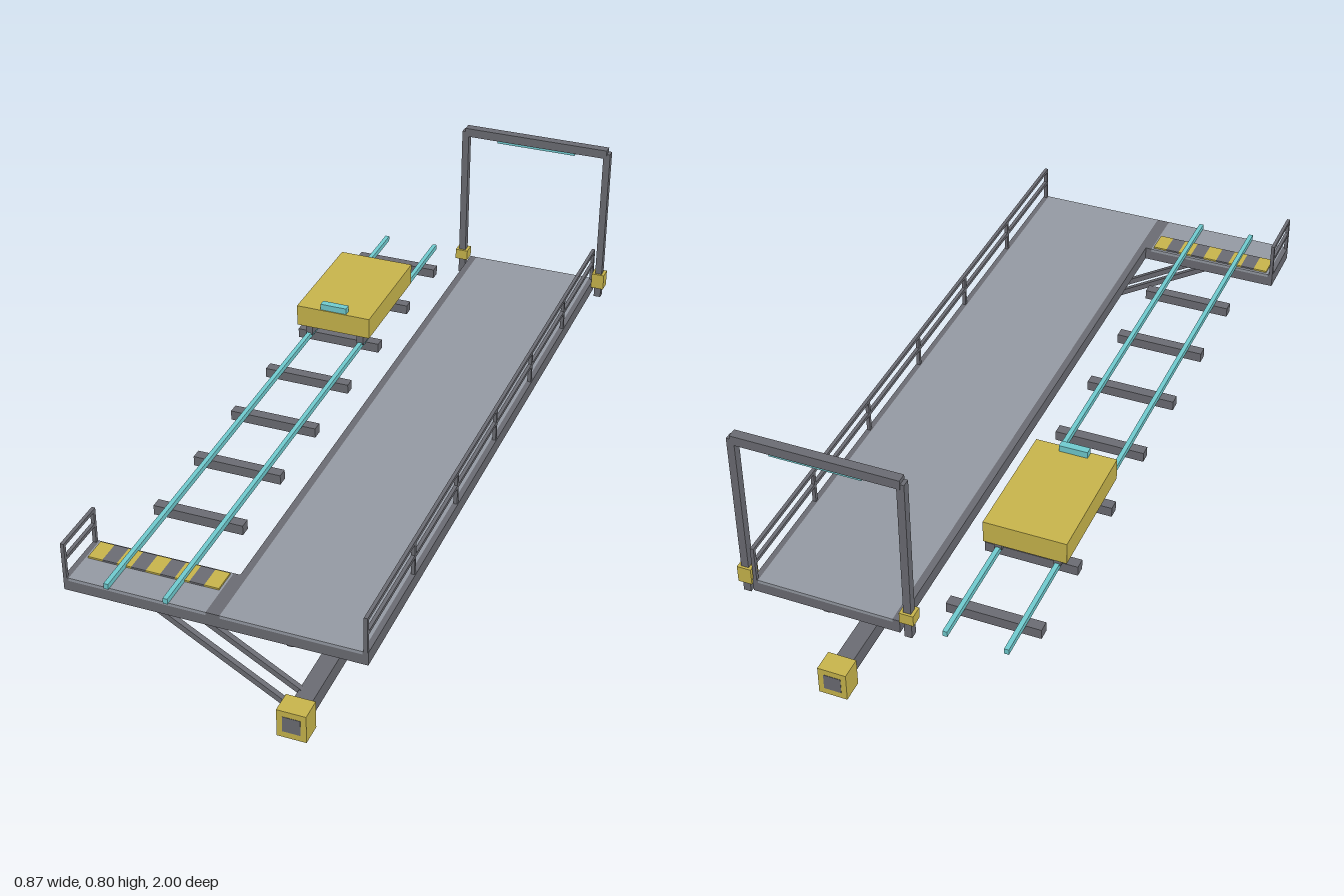
import * as THREE from 'three';

export function createModel() {
  const model = new THREE.Group();
  model.name = 'trussGangway';

  const mat = (name, color) => {
    const m = new THREE.MeshStandardMaterial({ color });
    m.name = name;
    return m;
  };
  const steel = mat('steel grey', 0x6b6c73);
  const plate = mat('plate grey', 0x959aa3);
  const yellow = mat('safety yellow', 0xc8b54c);
  const teal = mat('signal teal', 0x70cbcf);

  // Box given by its lower and upper limits on each axis
  const box = (name, material, [x0, x1], [y0, y1], [z0, z1], parent = model) => {
    const mesh = new THREE.Mesh(new THREE.BoxGeometry(x1 - x0, y1 - y0, z1 - z0), material);
    mesh.position.set((x0 + x1) / 2, (y0 + y1) / 2, (z0 + z1) / 2);
    mesh.name = name;
    parent.add(mesh);
    return mesh;
  };
  // Square bar between two points
  const bar = (name, a, b, size, parent = model) => {
    const from = new THREE.Vector3(...a), to = new THREE.Vector3(...b);
    const mesh = new THREE.Mesh(new THREE.BoxGeometry(size, size, from.distanceTo(to)), steel);
    mesh.position.copy(from).lerp(to, 0.5);
    mesh.lookAt(to);
    mesh.name = name;
    parent.add(mesh);
  };
  const group = (name) => {
    const g = new THREE.Group();
    g.name = name;
    model.add(g);
    return g;
  };
  const around = (c, size) => [c - size / 2, c + size / 2];

  const END = 0.995, LOW = 0.302, TOP = 0.341, UNDER = 0.332;

  // Main deck: plate, side beams and cross beams
  const deck = group('mainDeck');
  box('deckPlate', plate, [0, 0.379], [UNDER, TOP], [-END, END], deck);
  box('deckSideBeam', steel, [-0.02, 0], [LOW, TOP], [-END, END], deck);
  box('deckSideBeam', steel, [0.379, 0.394], [LOW, TOP], [-END, END], deck);
  for (let i = 0; i <= 8; i++) {
    const z = -0.98 + i * 0.245;
    box('deckCrossBeam', steel, [0, 0.379], [LOW, UNDER], around(z, 0.03), deck);
  }

  // Side landing at the front
  const landing = group('sideLanding');
  box('landingPlate', plate, [-0.42, -0.038], [UNDER, TOP], [0.825, END], landing);
  box('landingSideBeam', steel, [-0.435, -0.42], [LOW, TOP], [0.825, END], landing);
  box('landingSideBeam', steel, [-0.038, -0.02], [LOW, TOP], [0.825, END], landing);
  for (const z of [0.84, 0.98])
    box('landingCrossBeam', steel, [-0.42, -0.038], [LOW, UNDER], around(z, 0.03), landing);
  // Warning strip
  for (let i = 0; i < 9; i++) {
    const x = -0.413 + i * 0.041;
    box('warningStripe', i % 2 ? steel : yellow, [x, x + 0.041], [TOP, TOP + 0.005], [0.833, 0.902], landing);
  }

  // Railings
  const railing = (name, x, posts) => {
    const g = group(name);
    for (const z of posts) box('railingPost', steel, around(x, 0.01), [TOP, 0.445], around(z, 0.01), g);
    const span = [Math.min(...posts), Math.max(...posts)];
    for (const y of [0.396, 0.44]) box('railingRail', steel, around(x, 0.01), around(y, 0.01), span, g);
  };
  railing('deckRailing', 0.387, [-3, -2, -1, 0, 1, 2, 3].map((i) => i * 0.33));
  railing('landingRailing', -0.43, [0.83, 0.99]);

  // Lower chord with end blocks and zigzag bracing
  const truss = group('truss');
  const CX = 0.187, CY = 0.043;
  box('lowerChord', steel, around(CX, 0.05), around(CY, 0.048), [-0.998, 0.998], truss);
  for (const s of [-1, 1])
    box('chordEndBlock', yellow, around(CX, 0.082), [0, 0.085], around(s * 0.965, 0.064), truss);
  for (let i = 0; i < 6; i++) {
    const node = (k) => [CX, k % 2 ? 0.055 : 0.305, 0.99 - k * 0.33];
    bar('trussDiagonal', node(i), node(i + 1), 0.015, truss);
  }
  for (const z of [0.88, 0.945]) bar('landingStrut', [-0.228, 0.292, z], [CX, CY + 0.005, z], 0.016, truss);

  // Portal frame at the rear
  const portal = group('portal');
  for (const x of [-0.041, 0.414]) {
    box('portalPost', steel, around(x, 0.021), [0.292, 0.79], [-0.993, -0.97], portal);
    box('portalFoot', yellow, around(x, 0.039), x < 0 ? [0.342, 0.374] : [0.325, 0.374], [-1, -0.963], portal);
  }
  box('portalBeam', steel, [-0.041, 0.414], [0.775, 0.802], [-0.995, -0.968], portal);
  box('portalLamp', teal, [0.063, 0.312], [0.766, 0.776], [-0.99, -0.973], portal);

  // Track: sleepers and rails
  const track = group('track');
  for (let i = 0; i < 7; i++)
    box('sleeper', steel, [-0.36, -0.1], [0.312, 0.341], around(-0.877 + i * 0.249, 0.031), track);
  for (const x of [-0.311, -0.146])
    box('trackRail', teal, around(x, 0.013), [0.34, 0.356], [-1, 1], track);

  // Cart riding on the track
  const cart = group('cart');
  box('cartBody', yellow, [-0.345, -0.113], [0.383, 0.448], [-0.685, -0.32], cart);
  box('cartPanel', teal, [-0.27, -0.188], [0.448, 0.467], [-0.345, -0.323], cart);
  for (const x of [-0.311, -0.146])
    for (const z of [-0.36, -0.635])
      box('cartWheelBlock', steel, around(x, 0.021), [0.35, 0.384], around(z, 0.06), cart);

  return model;
}
